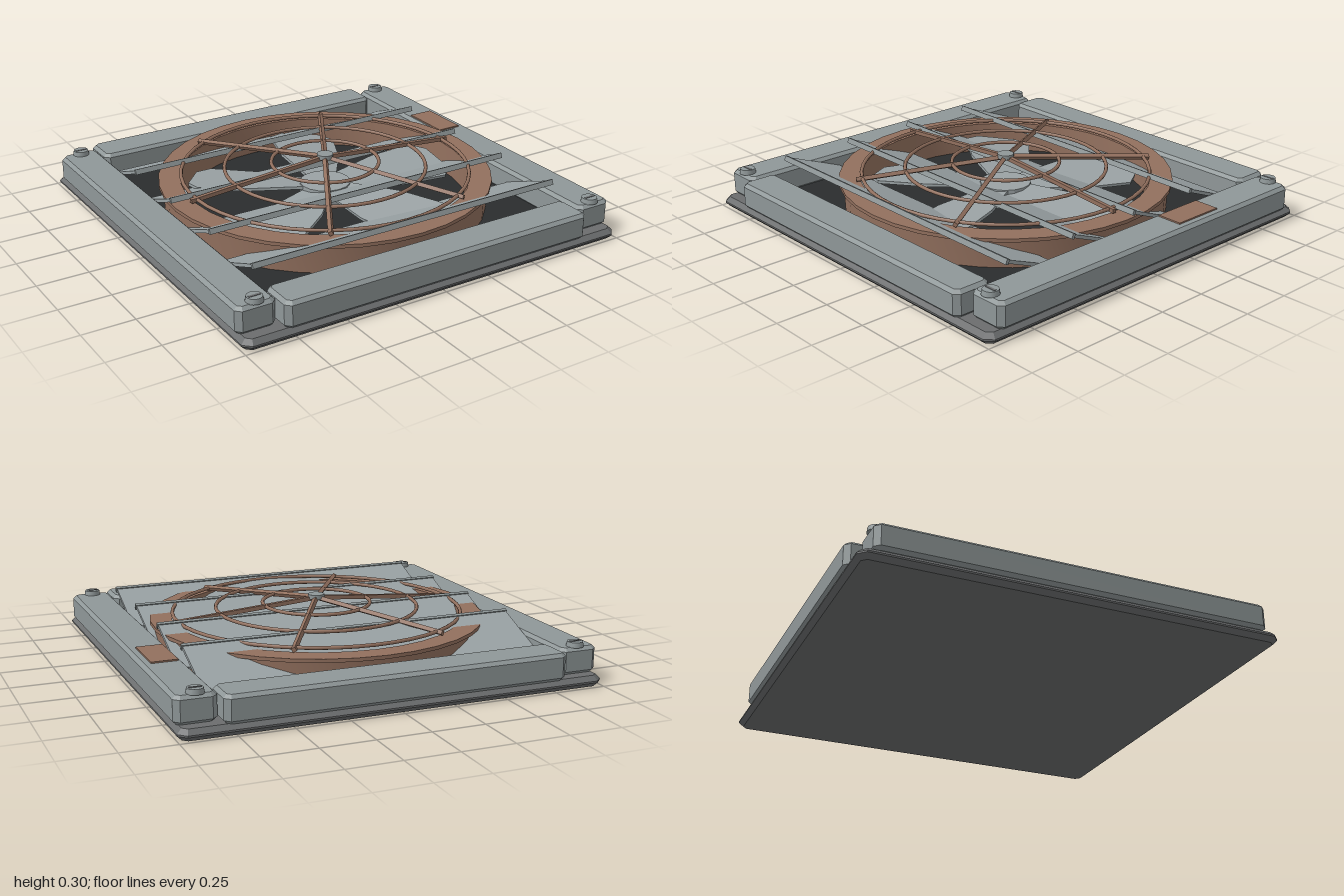
import * as THREE from 'three';
import { toCreasedNormals } from 'three/addons/utils/BufferGeometryUtils.js';

const mat = (name, color) => {
  const m = new THREE.MeshStandardMaterial({ color });
  m.name = name;
  return m;
};

export function createModel() {
  const root = new THREE.Group();
  root.name = 'ventilationFan';
  const frameGray = mat('frameGray', 0x8f9798);
  const slatGray = mat('slatGray', 0x9aa2a4);
  const baseGray = mat('baseGray', 0x6b6d6e);
  const darkPanel = mat('darkPanel', 0x2a2d2e);
  const copper = mat('copperBrown', 0x92705e);

  const add = (name, geo, material, x = 0, y = 0, z = 0, parent = root) => {
    const m = new THREE.Mesh(geo, material);
    m.name = name;
    m.position.set(x, y, z);
    parent.add(m);
    return m;
  };

  // Box with all edges chamfered by b, standing on y = 0
  const chamferBox = (w, h, d, b) => {
    const x = w / 2 - b, z = d / 2 - b;
    const s = new THREE.Shape([
      [-x, -z + b], [-x + b, -z], [x - b, -z], [x, -z + b],
      [x, z - b], [x - b, z], [-x + b, z], [-x, z - b],
    ].map(([a, c]) => new THREE.Vector2(a, c)));
    const g = new THREE.ExtrudeGeometry(s, {
      depth: h - 2 * b, bevelEnabled: true, bevelSize: b, bevelThickness: b, bevelSegments: 1,
    });
    return g.translate(0, 0, b).rotateX(-Math.PI / 2);
  };

  // Square bar between two points
  const bar = (name, a, b, t, material, parent) => {
    const d = b.clone().sub(a);
    const m = add(name, new THREE.BoxGeometry(t, d.length(), t), material, 0, 0, 0, parent);
    m.position.copy(a).add(b).multiplyScalar(0.5);
    m.quaternion.setFromUnitVectors(new THREE.Vector3(0, 1, 0), d.normalize());
    return m;
  };

  // Base plate and dark inner panel
  add('basePlate', chamferBox(2, 0.052, 2, 0.022), baseGray);
  add('innerPanel', new THREE.BoxGeometry(1.66, 0.008, 1.66), darkPanel, 0, 0.054, 0);

  // Frame bars, label plate and slotted corner screws
  for (const s of [-1, 1]) {
    add('sideRail', chamferBox(0.19, 0.127, 1.87, 0.016), frameGray, s * 0.905, 0.05, 0);
    add('crossRail', chamferBox(1.61, 0.127, 0.19, 0.016), frameGray, 0, 0.05, s * 0.905);
    for (const t of [-1, 1]) {
      add('screw', toCreasedNormals(new THREE.CylinderGeometry(0.036, 0.04, 0.024, 20), 0.5), frameGray, s * 0.9, 0.187, t * 0.9);
      add('screwSlot', new THREE.BoxGeometry(0.055, 0.004, 0.012), baseGray, s * 0.9, 0.199, t * 0.9);
    }
  }
  add('labelPlate', new THREE.BoxGeometry(0.125, 0.008, 0.26), copper, 0.895, 0.18, -0.315);

  // Duct ring with a lip
  const profile = [[0.7, 0.055], [0.785, 0.055], [0.79, 0.185], [0.81, 0.19], [0.81, 0.207], [0.705, 0.207], [0.7, 0.055]];
  add('ductRing', toCreasedNormals(
    new THREE.LatheGeometry(profile.map(([r, y]) => new THREE.Vector2(r, y)), 36), 0.4), copper);

  // Fan hub and five pitched blades
  const fan = new THREE.Group();
  fan.name = 'fan';
  root.add(fan);
  add('fanHub', toCreasedNormals(new THREE.CylinderGeometry(0.125, 0.125, 0.1, 16), 0.3), slatGray, 0, 0.105, 0, fan);
  const bladeShape = new THREE.Shape([
    [0.08, -0.07], [0.36, -0.15], [0.6, -0.17], [0.66, -0.1], [0.66, 0.1], [0.6, 0.17], [0.36, 0.15], [0.08, 0.07],
  ].map(([x, y]) => new THREE.Vector2(x, y)));
  const bladeGeo = new THREE.ExtrudeGeometry(bladeShape, { depth: 0.014, bevelEnabled: false })
    .rotateX(-Math.PI / 2).rotateX(0.13);
  for (let i = 0; i < 5; i++) {
    const blade = add('fanBlade', bladeGeo, slatGray, 0, 0.128, 0, fan);
    blade.rotation.y = -THREE.MathUtils.degToRad(2 + i * 72);
  }

  // Tilted louvre slats, front edge raised
  const tilt = Math.atan(0.4);
  for (let i = 0; i < 4; i++) {
    const slat = new THREE.Group();
    slat.name = 'louvreSlat';
    slat.position.set(0, 0.237, 0.733 - i * 0.384);
    slat.rotation.x = -tilt;
    root.add(slat);
    add('slatBlade', new THREE.BoxGeometry(1.62, 0.016, 0.34), slatGray, 0, -0.004, -0.172, slat);
    add('slatLip', new THREE.BoxGeometry(1.63, 0.026, 0.016), frameGray, 0, -0.004, -0.006, slat);
  }

  // Shallow cone guard: rings, spokes and centre cap
  const guard = new THREE.Group();
  guard.name = 'guard';
  root.add(guard);
  const guardY = (r) => 0.282 - 0.08 * r;
  for (const r of [0.262, 0.49, 0.7]) {
    add('guardRing', new THREE.TorusGeometry(r, 0.009, 8, 48).rotateX(Math.PI / 2), copper, 0, guardY(r), 0, guard);
  }
  for (let i = 0; i < 6; i++) {
    const a = i * Math.PI / 3;
    bar('guardSpoke', new THREE.Vector3(0, guardY(0), 0),
      new THREE.Vector3(0.73 * Math.cos(a), guardY(0.73), 0.73 * Math.sin(a)), 0.02, copper, guard);
  }
  add('guardCap', toCreasedNormals(new THREE.CylinderGeometry(0.04, 0.04, 0.022, 20), 0.5), frameGray, 0, 0.289, 0, guard);

  return root;
}
